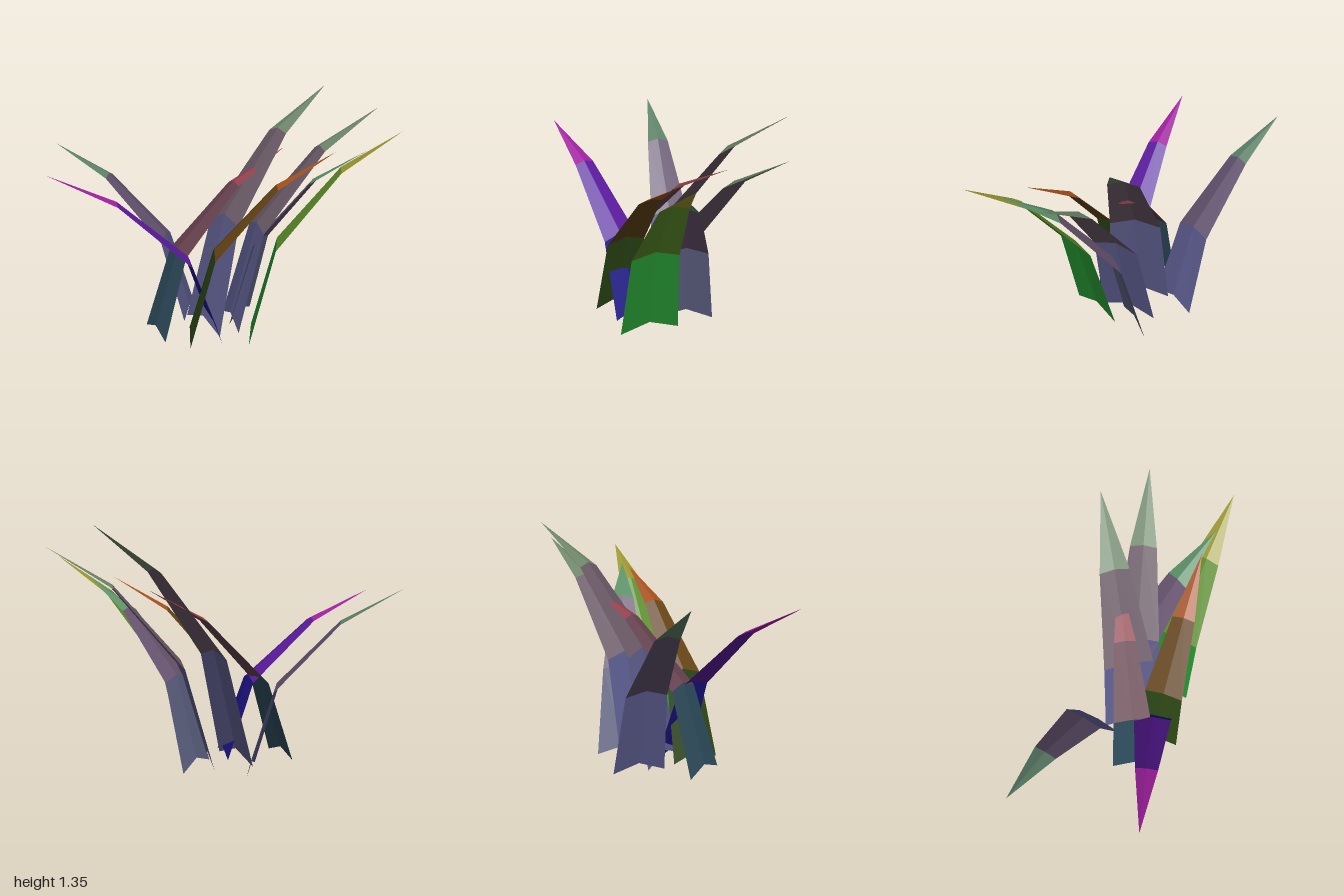
import * as THREE from 'three';

// Shared blade profile: run outward, height, width and ridge lift at each level
const RUN = [0, 0.175, 0.6, 1];
const RISE = [0, 0.457, 0.815, 1];
const WIDTH = [1, 0.78, 0.44, 0];
const RIDGE = [0.048, 0.03, 0.018, 0];
const SECTIONS = ['lower', 'middle', 'tip'];

// Base centre [x, z], tip [x, y, z], base width, colours from root to tip
const BLADES = [
  { name: 'leftBlade', base: [-0.2, -0.13], tip: [-1, 1.02, -0.13], width: 0.295, colors: [0x5a5a8c, 0x60506c, 0x5c8068] },
  { name: 'frontLeftBlade', base: [0.015, 0.15], tip: [-0.81, 0.975, 0.515], width: 0.28, colors: [0x1c1488, 0x5a1a9c, 0xa020a0] },
  { name: 'frontBlade', base: [-0.12, 0.235], tip: [0.65, 1.06, 0.06], width: 0.29, colors: [0x2a4414, 0x644414, 0xa4501c] },
  { name: 'crossingBlade', base: [-0.325, 0.21], tip: [0.34, 1.01, -0.29], width: 0.28, colors: [0x2c4a5a, 0x64404c, 0x90404c] },
  { name: 'rightBlade', base: [0.21, 0.11], tip: [0.99, 1.18, 0.06], width: 0.34, colors: [0x249030, 0x5c8c28, 0x98942c] },
  { name: 'backRightBlade', base: [0.07, -0.025], tip: [0.87, 1.24, -0.4], width: 0.34, colors: [0x5a5a8c, 0x685864, 0x6c8468] },
  { name: 'tallBackBlade', base: [-0.08, 0.06], tip: [0.555, 1.35, -0.515], width: 0.37, colors: [0x5c5c8c, 0x685864, 0x6c8468] },
  { name: 'innerBlade', base: [0.11, -0.13], tip: [0.81, 1.07, 0.06], width: 0.31, colors: [0x5c6080, 0x685470, 0x5c9068] },
];

// Cross-section at one level: left edge, raised ridge, right edge
function crossSection({ base, tip, width }, i) {
  const dx = tip[0] - base[0], dz = tip[2] - base[1];
  const half = (width * WIDTH[i]) / 2 / Math.hypot(dx, dz);
  const x = base[0] + dx * RUN[i], z = base[1] + dz * RUN[i], y = tip[1] * RISE[i];
  return [
    [x + dz * half, y, z - dx * half],
    [x, y + RIDGE[i] * tip[1], z],
    [x - dz * half, y, z + dx * half],
  ];
}

// Folded strip joining two neighbouring cross-sections
function sectionGeometry(a, b, pointed) {
  const points = [];
  for (let k = 0; k < 2; k++) {
    points.push(a[k], b[k], a[k + 1]);
    if (!pointed) points.push(a[k + 1], b[k], b[k + 1]);
  }
  const geometry = new THREE.BufferGeometry();
  geometry.setAttribute('position', new THREE.Float32BufferAttribute(points.flat(), 3));
  geometry.computeVertexNormals();
  return geometry;
}

function makeBlade(spec) {
  const blade = new THREE.Group();
  blade.name = spec.name;
  SECTIONS.forEach((label, i) => {
    const material = new THREE.MeshStandardMaterial({
      color: spec.colors[i], side: THREE.DoubleSide, flatShading: true,
    });
    const geometry = sectionGeometry(crossSection(spec, i), crossSection(spec, i + 1), i === 2);
    const mesh = new THREE.Mesh(geometry, material);
    mesh.name = `${label}Section`;
    blade.add(mesh);
  });
  return blade;
}

export function createModel() {
  const clump = new THREE.Group();
  clump.name = 'grassClump';
  BLADES.forEach((spec) => clump.add(makeBlade(spec)));
  return clump;
}
